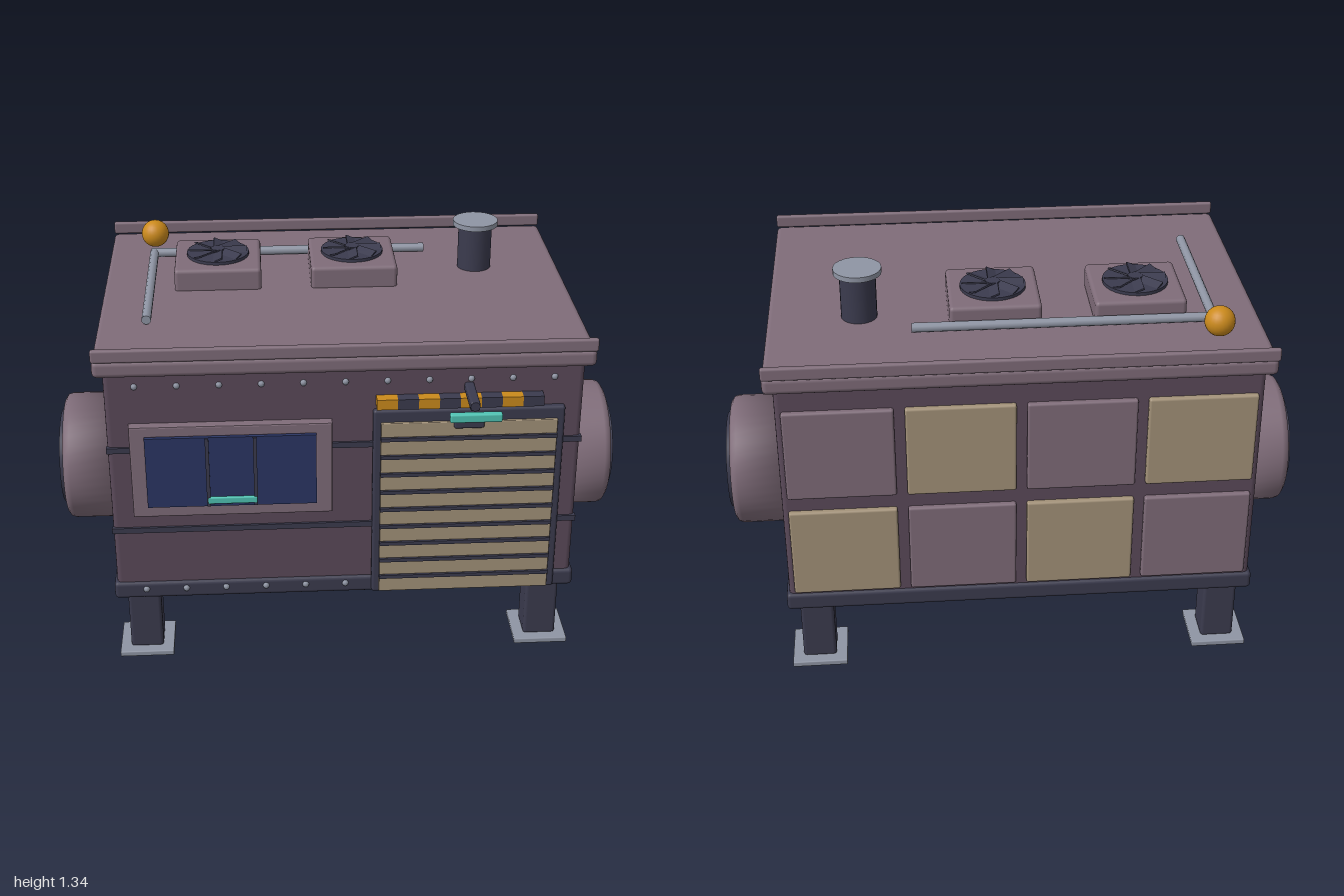
import * as THREE from 'three';
import { RoundedBoxGeometry } from 'three/addons/geometries/RoundedBoxGeometry.js';

function mat(name, color) {
  const m = new THREE.MeshStandardMaterial({ color });
  m.name = name;
  return m;
}

export function createModel() {
  const root = new THREE.Group();
  root.name = 'utilityModule';
  const wall = mat('plum wall', 0x5b4a5a);
  const trim = mat('mauve trim', 0x7f6c79);
  const dark = mat('dark steel', 0x3b3b4e);
  const metal = mat('light metal', 0x8f95a4);
  const tan = mat('tan panel', 0xa39279);
  const glass = mat('blue glass', 0x2b3664);
  const cyan = mat('cyan light', 0x4fc4b4);
  const amber = mat('amber', 0xcb8a1c);

  const add = (name, geometry, material, x, y, z, parent = root) => {
    const mesh = new THREE.Mesh(geometry, material);
    mesh.name = name;
    mesh.position.set(x, y, z);
    parent.add(mesh);
    return mesh;
  };
  // Box given by its limits on each axis, with optional rounded edges
  const box = (name, material, [x0, x1], [y0, y1], [z0, z1], r = 0) => {
    const w = x1 - x0, h = y1 - y0, d = z1 - z0;
    const g = r ? new RoundedBoxGeometry(w, h, d, 2, r) : new THREE.BoxGeometry(w, h, d);
    return add(name, g, material, (x0 + x1) / 2, (y0 + y1) / 2, (z0 + z1) / 2);
  };
  const cyl = (r, h, n = 24) => new THREE.CylinderGeometry(r, r, h, n);

  // Hull and roof
  box('hull', wall, [-0.785, 0.785], [0.244, 1.11], [-0.615, 0.48], 0.018);
  box('baseSkirt', dark, [-0.795, 0.795], [0.246, 0.31], [-0.625, 0.49], 0.014);
  box('underside', wall, [-0.76, 0.76], [0.242, 0.26], [-0.59, 0.455]);
  box('roofSlab', trim, [-0.815, 0.815], [1.1, 1.16], [-0.65, 0.513], 0.018);
  box('frontRoofLip', trim, [-0.815, 0.815], [1.158, 1.203], [0.5, 0.521], 0.008);
  box('backRoofLip', trim, [-0.815, 0.815], [1.158, 1.203], [-0.662, -0.641], 0.008);

  // Legs and foot plates
  for (const x of [-0.698, 0.698]) {
    for (const z of [-0.533, 0.393]) {
      box('leg', dark, [x - 0.057, x + 0.057], [0.015, 0.25], [z - 0.057, z + 0.057], 0.012);
      box('footPlate', metal, [x - 0.094, x + 0.094], [0.001, 0.021], [z - 0.094, z + 0.094], 0.004);
      box('legSocket', dark, [x - 0.045, x + 0.045], [0, 0.01], [z - 0.045, z + 0.045]);
    }
  }

  // Round side vents, mirrored
  const ventProfile = [[0, 0], [0.23, 0], [0.23, 0.18], [0.225, 0.196], [0.212, 0.205], [0.172, 0.207], [0, 0.207]]
    .map(([r, h]) => new THREE.Vector2(r, h));
  for (const side of [-1, 1]) {
    const vent = new THREE.Group();
    vent.name = side > 0 ? 'leftVent' : 'rightVent';
    vent.position.set(side * 0.779, 0.515, -0.07);
    vent.rotation.z = -side * Math.PI / 2;
    add('ventHousing', new THREE.LatheGeometry(ventProfile, 40), trim, 0, 0, 0, vent);
    add('ventCover', cyl(0.17, 0.03, 40), dark, 0, 0.206, 0, vent);
    root.add(vent);
  }

  // Front seams and rivets
  for (const y of [0.825, 0.518]) box('seam', dark, [-0.788, 0.788], [y - 0.01, y + 0.01], [0.47, 0.488]);
  const rivet = new THREE.SphereGeometry(0.012, 8, 6);
  for (let i = 0; i < 11; i++) {
    const x = -0.685 + i * 0.137;
    add('topRivet', rivet, metal, x, 1.055, 0.477);
    add('baseRivet', rivet, metal, x, 0.284, 0.488);
  }

  // Window with frame, mullions and handle light
  const frame = new THREE.Shape();
  frame.moveTo(-0.71, 0.585).lineTo(-0.045, 0.585).lineTo(-0.045, 0.922).lineTo(-0.71, 0.922).closePath();
  const opening = new THREE.Path();
  opening.moveTo(-0.658, 0.63).lineTo(-0.658, 0.884).lineTo(-0.1, 0.884).lineTo(-0.1, 0.63).closePath();
  frame.holes.push(opening);
  const frameGeometry = new THREE.ExtrudeGeometry(frame, {
    depth: 0.035, bevelEnabled: true, bevelSize: 0.005, bevelOffset: -0.005, bevelThickness: 0.005, bevelSegments: 2,
  });
  add('windowFrame', frameGeometry, trim, 0, 0, 0.472);
  box('windowGlass', glass, [-0.66, -0.098], [0.628, 0.886], [0.475, 0.524]);
  for (const x of [-0.457, -0.3]) box('mullion', dark, [x - 0.006, x + 0.006], [0.63, 0.884], [0.51, 0.53]);
  box('windowLight', cyan, [-0.46, -0.295], [0.639, 0.664], [0.51, 0.532], 0.005);

  // Roller door
  box('doorFrame', dark, [0.09, 0.725], [0.25, 0.955], [0.46, 0.5], 0.01);
  for (let i = 0; i < 10; i++) {
    const y = 0.285 + i * 0.0668;
    box('doorSlat', tan, [0.115, 0.7], [y - 0.026, y + 0.026], [0.49, 0.51], 0.003);
    if (i) box('slatRib', dark, [0.115, 0.7], [y - 0.04, y - 0.027], [0.49, 0.515]);
  }
  box('doorLatch', dark, [0.355, 0.455], [0.892, 0.922], [0.5, 0.522], 0.007);

  // Striped warning bar over the door
  for (let i = 0; i < 8; i++) {
    const x = 0.1 + i * 0.0685;
    box('warningStripe', i % 2 ? dark : amber, [x, x + 0.0685], [0.968, 1.004], [0.478, 0.52]);
  }

  // Door lamp on an arm
  add('lampArm', cyl(0.016, 0.15, 12), dark, 0.405, 1.027, 0.555).rotation.x = Math.PI / 2;
  box('lampBracket', dark, [0.389, 0.421], [1.01, 1.043], [0.475, 0.63], 0.008);
  box('doorLamp', cyan, [0.322, 0.49], [0.985, 1.015], [0.636, 0.66], 0.006);

  // Checkered back panels
  for (let c = 0; c < 4; c++) {
    for (let r = 0; r < 2; r++) {
      const x = -0.586 + c * 0.391, y = 0.483 + r * 0.377;
      box('backPanel', (c + r) % 2 ? tan : trim, [x - 0.178, x + 0.178], [y - 0.162, y + 0.162], [-0.633, -0.6], 0.008);
    }
  }

  // Roof fans
  for (const x of [-0.414, 0.064]) {
    box('fanHousing', trim, [x - 0.152, x + 0.152], [1.15, 1.237], [-0.363, -0.059], 0.014);
    const fan = new THREE.Group();
    fan.name = 'roofFan';
    fan.position.set(x, 1.238, -0.211);
    add('fanDisc', cyl(0.11, 0.012, 32), dark, 0, 0.004, 0, fan);
    add('fanHub', cyl(0.025, 0.022, 16), dark, 0, 0.011, 0, fan);
    for (let i = 0; i < 8; i++) {
      const pivot = new THREE.Group();
      pivot.name = 'fanBlade';
      pivot.rotation.y = i * Math.PI / 4;
      add('blade', new THREE.BoxGeometry(0.082, 0.005, 0.034), dark, 0.062, 0.014, 0, pivot).rotation.x = 0.4;
      fan.add(pivot);
    }
    root.add(fan);
  }

  // Chimney, beacon and roof pipes
  add('chimney', cyl(0.06, 0.18), dark, 0.51, 1.235, -0.24);
  add('chimneyCap', cyl(0.08, 0.018), metal, 0.51, 1.328, -0.24);
  add('beacon', new THREE.SphereGeometry(0.05, 24, 16), amber, -0.65, 1.218, -0.482);
  add('sidePipe', cyl(0.016, 0.62, 10), metal, -0.65, 1.181, -0.075).rotation.x = Math.PI / 2;
  add('crossPipe', cyl(0.016, 1.0, 10), metal, -0.16, 1.181, -0.38).rotation.z = Math.PI / 2;

  return root;
}
